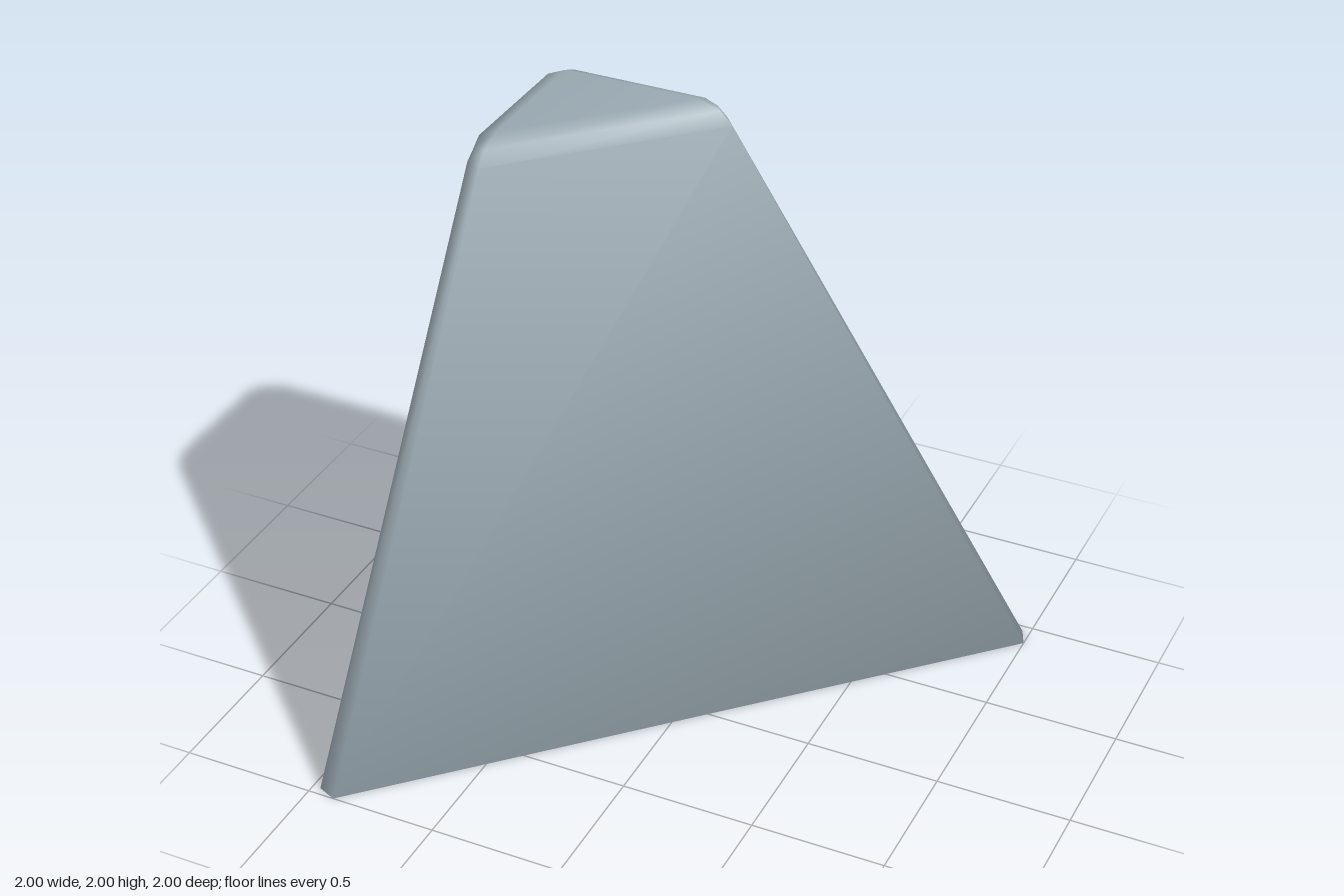
import * as THREE from 'three';

const shellGrey = new THREE.MeshStandardMaterial({ color: 0x98a7b0 });
shellGrey.name = 'shellGrey';
const baseGreen = new THREE.MeshStandardMaterial({ color: 0x6c9043 });
baseGreen.name = 'baseGreen';

// Horizontal section: square corner, then the +x end; the +z end mirrors it across x = z.
function section(corner, end) {
  const mirrored = end.map(([x, y, z]) => [z, y, x]).reverse();
  return [...corner, ...end, ...mirrored];
}

export function createModel() {
  const corner = (y) => [[-1, y, -0.9], [-0.97, y, -0.97], [-0.9, y, -1]];
  const sections = [
    // foot
    section(corner(0), [[0.88, 0, -1], [0.97, 0, -0.97], [1, 0, -0.9]]),
    // top of the straight walls
    section(corner(1.9), [[-0.37, 1.9, -1], [-0.28, 1.91, -0.97], [-0.23, 1.92, -0.9]]),
    // middle of the rounded upper edge
    section([[-0.97, 1.97, -0.9], [-0.95, 1.95, -0.95], [-0.9, 1.97, -0.97]],
      [[-0.37, 1.97, -0.97], [-0.31, 1.96, -0.95], [-0.28, 1.97, -0.9]]),
    // flat triangular top
    section([[-0.9, 2, -0.9]], [[-0.37, 2, -0.9]]),
  ];
  const n = 9;
  const id = (ring, i) => ring < 3 ? ring * n + (i % n) : 27 + Math.floor((i % n) / 3);

  // walls and rounded upper edge
  const index = [];
  const tri = (a, b, c) => {
    if (a !== b && b !== c && a !== c) index.push(a, b, c);
  };
  for (let r = 0; r < 3; r++) {
    for (let i = 0; i < n; i++) {
      tri(id(r, i), id(r + 1, i), id(r, i + 1));
      tri(id(r, i + 1), id(r + 1, i), id(r + 1, i + 1));
    }
  }
  tri(27, 29, 28);
  const shellCount = index.length;

  // underside, fanned out from the square corner
  for (let i = 1; i < n - 1; i++) tri(1, (1 + i) % n, (2 + i) % n);

  const geometry = new THREE.BufferGeometry();
  geometry.setAttribute('position', new THREE.Float32BufferAttribute(sections.flat(2), 3));
  geometry.setIndex(index);
  geometry.addGroup(0, shellCount, 0);
  geometry.addGroup(shellCount, index.length - shellCount, 1);
  geometry.computeVertexNormals(); // soft shading runs across every edge

  const wedge = new THREE.Mesh(geometry, [shellGrey, baseGreen]);
  wedge.name = 'cornerWedge';
  const group = new THREE.Group();
  group.name = 'cornerSlope';
  group.add(wedge);
  return group;
}
